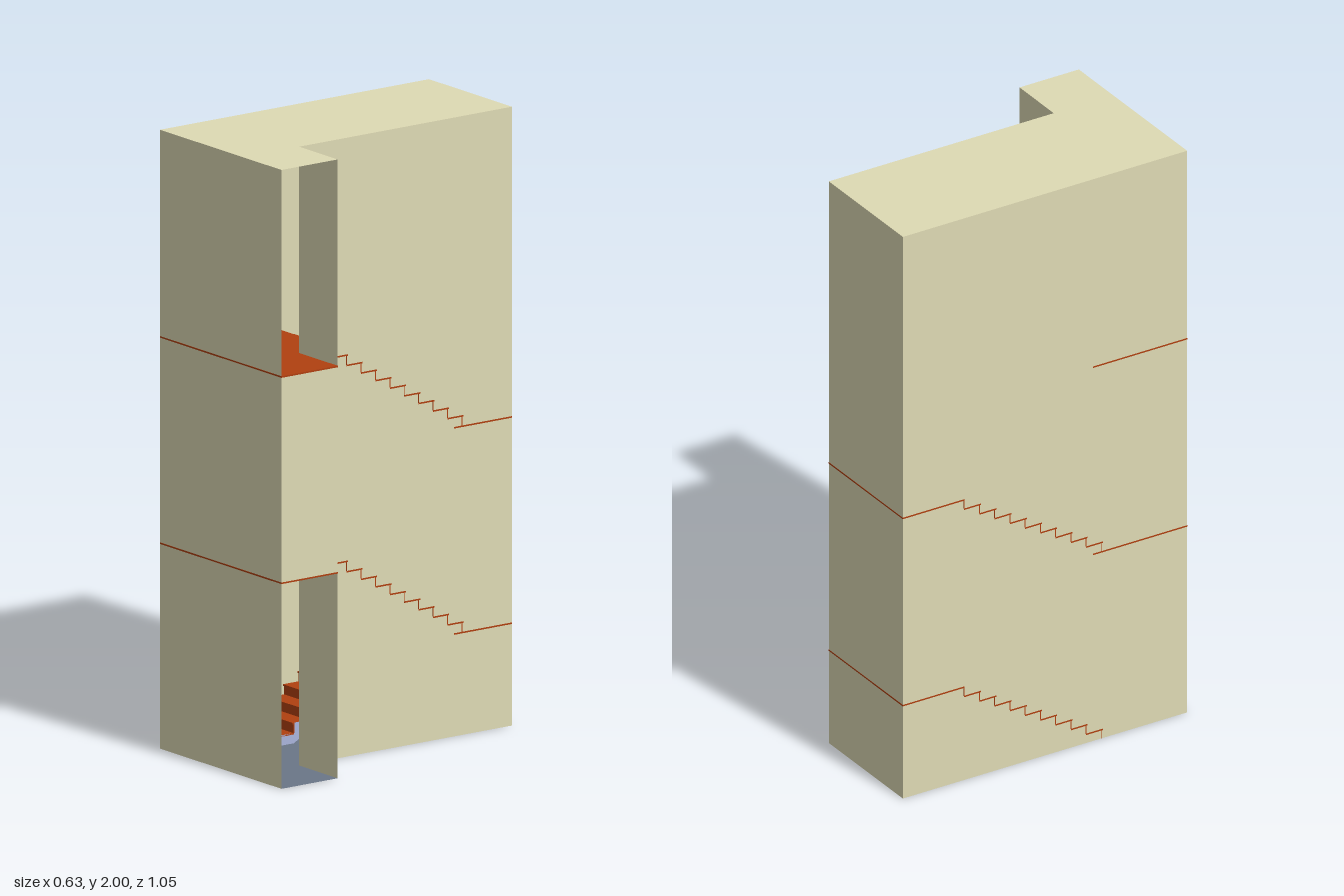
import * as THREE from 'three';

const X0 = -0.316, XN = 0.116, X1 = 0.316;   // left wall, notch wall, door end
const Z0 = -0.527, ZN = 0.307, Z1 = 0.527;   // back, notch, front
const RISE = 1 / 3, STEPS = 10, PITCH = 0.0565;
const FRONT = 0.178, BACK = -0.30;           // inner edges of the landings
const T = 0.005, E = 0.0005;                 // slab thickness, slight show-through at walls

const mat = (color) => new THREE.MeshStandardMaterial({ color, side: THREE.DoubleSide });
const wallMat = mat(0xdedab4), stairMat = mat(0xb04010);
const stringMat = mat(0xaab4dd), floorMat = mat(0x6a7688);

function add(group, name, geometry, material) {
  const mesh = new THREE.Mesh(geometry, material);
  mesh.name = name;
  group.add(mesh);
  return mesh;
}

// Flat outline in x,z turned to lie at height y
function flat(points, y) {
  const shape = new THREE.Shape(points.map(([x, z]) => new THREE.Vector2(x, -z)));
  return new THREE.ShapeGeometry(shape).rotateX(-Math.PI / 2).translate(0, y, 0);
}

// Thin slab with its top at height y
function slab(points, y) {
  const shape = new THREE.Shape(points.map(([x, z]) => new THREE.Vector2(x, -z)));
  return new THREE.ExtrudeGeometry(shape, { depth: T, bevelEnabled: false })
    .rotateX(-Math.PI / 2).translate(0, y - T, 0);
}

// Vertical panel from (ax, az) to (bx, bz)
function panel(ax, az, bx, bz, y0, y1) {
  const dx = bx - ax, dz = bz - az;
  return new THREE.PlaneGeometry(Math.hypot(dx, dz), y1 - y0)
    .rotateY(Math.atan2(-dz, dx))
    .translate((ax + bx) / 2, (y0 + y1) / 2, (az + bz) / 2);
}

// Flight rising from y0; dir is the z direction of climbing
function flight(name, x0, x1, stringX, y0, dir) {
  const g = new THREE.Group();
  g.name = name;
  const h = RISE / STEPS;
  const top = dir < 0 ? BACK : FRONT;        // nosing line of the arrival landing
  const wall = dir < 0 ? Z0 : Z1;
  const start = top - dir * PITCH * (STEPS - 1);
  const outline = [];
  for (let i = 0; i < STEPS; i++) {
    const z = start + dir * PITCH * i, y = y0 + h * i;
    add(g, 'riser', new THREE.BoxGeometry(x1 - x0, h, 0.003)
      .translate((x0 + x1) / 2, y + h / 2, z), stairMat);
    if (i < STEPS - 1) {
      add(g, 'tread', new THREE.BoxGeometry(x1 - x0, T, PITCH + 0.006)
        .translate((x0 + x1) / 2, y + h - T / 2, z + dir * (PITCH / 2 - 0.003)), stairMat);
    }
    outline.push([z, y], [z, y + h]);
  }
  // Sawtooth side string, carried on under the arrival landing
  const yTop = y0 + RISE - T;
  outline[outline.length - 1][1] = yTop;
  outline.push([wall, yTop], [wall, yTop - h], [top + dir * PITCH, yTop - h], [start + dir * PITCH, y0]);
  const shape = new THREE.Shape(outline.map(([z, y]) => new THREE.Vector2(-z, y)));
  add(g, 'sideString', new THREE.ShapeGeometry(shape).rotateY(Math.PI / 2).translate(stringX, 0, 0), stringMat);
  return g;
}

export function createModel() {
  const model = new THREE.Group();
  model.name = 'stairwell';
  const plan = [[X0, Z1], [X1, Z1], [X1, ZN], [XN, ZN], [XN, Z0], [X0, Z0]];

  // Shell
  add(model, 'floor', flat(plan, 0), floorMat);
  add(model, 'ceiling', flat(plan, 2), wallMat);
  const names = ['frontWall', 'doorEndWall', 'notchWall', 'leftSideWall', 'backWall', 'rightSideWall'];
  plan.forEach(([ax, az], i) => {
    const [bx, bz] = plan[(i + 1) % plan.length];
    // The door end is open on the lowest and highest storeys
    const [y0, y1] = i === 1 ? [2 * RISE, 4 * RISE] : [0, 2];
    add(model, names[i], panel(ax, az, bx, bz, y0, y1), wallMat);
  });

  // Two storeys, each with two flights and two landings
  for (let s = 0; s < 2; s++) {
    const y = s * 2 * RISE;
    model.add(flight('lowerFlight', X0 - E, -0.117, -0.117, y, -1));
    model.add(flight('upperFlight', -0.083, XN + E, -0.083, y + RISE, 1));
    add(model, 'backLanding', slab([[X0 - E, BACK], [XN + E, BACK], [XN + E, Z0 - E], [X0 - E, Z0 - E]], y + RISE), stairMat);
    add(model, 'frontLanding', slab([[X0 - E, Z1 + E], [X1 + E, Z1 + E], [X1 + E, ZN - E],
      [XN + E, ZN - E], [XN + E, FRONT], [X0 - E, FRONT]], y + 2 * RISE), stairMat);
  }
  return model;
}
